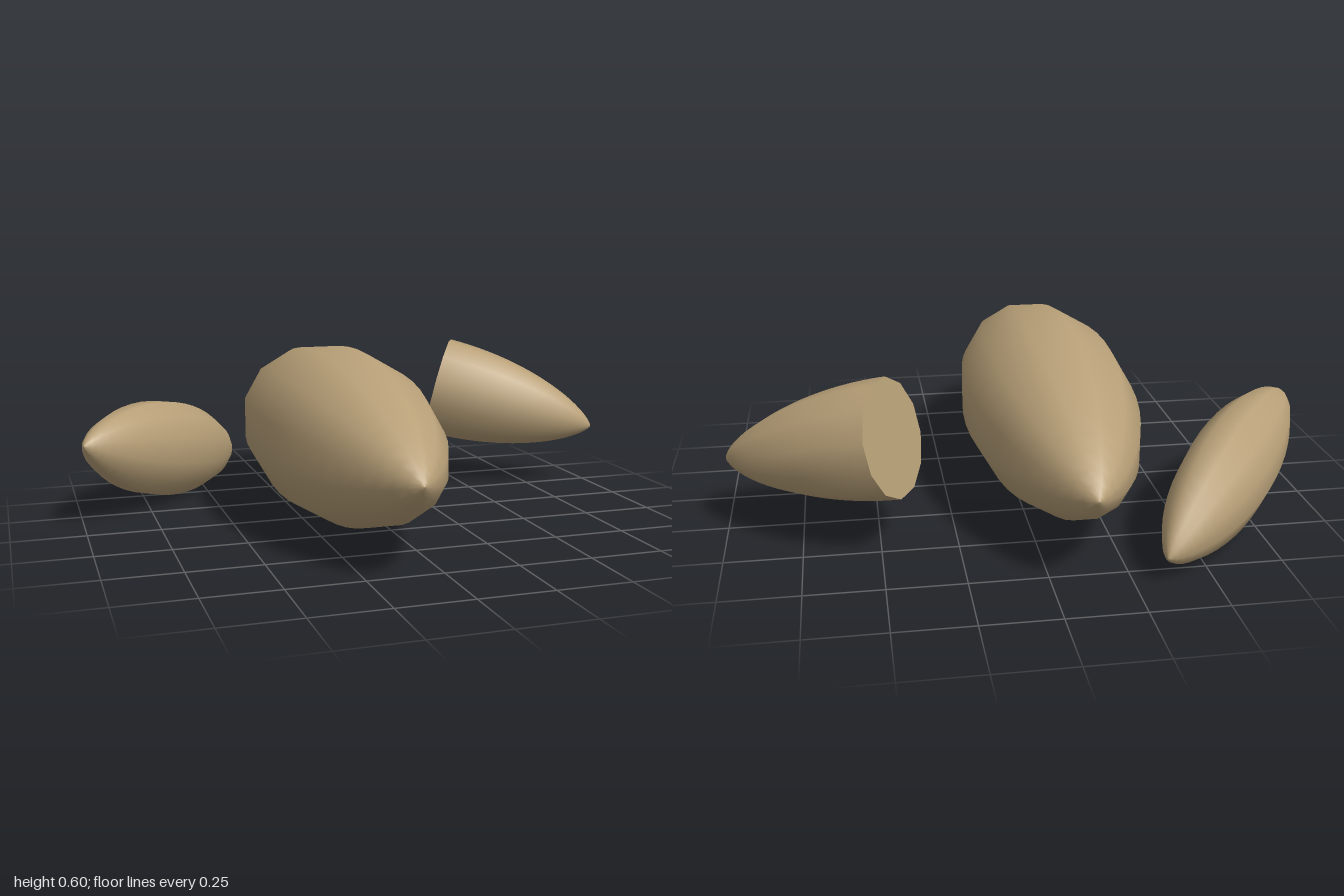
import * as THREE from 'three';

const SIDES = 12;
const RINGS = 24;

// Pointed, swollen grain profile along y, from t0 (-1 = full grain, 0 = cut in half) to the tip at 1
function grainGeometry(radius, halfLength, t0) {
  const points = [];
  for (let i = 0; i <= RINGS; i++) {
    const a = THREE.MathUtils.lerp(Math.asin(t0), Math.PI / 2, i / RINGS);
    const t = Math.sin(a);
    const r = i === RINGS || (i === 0 && t0 === -1) ? 0 : radius * Math.pow(1 - t * t, 0.72);
    points.push(new THREE.Vector2(r, t * halfLength));
  }
  return new THREE.LatheGeometry(points, SIDES, Math.PI / SIDES);
}

// Turn an object so that its y axis follows a direction, keeping its x axis level
function aim(object, direction) {
  const y = direction.clone().normalize();
  const x = new THREE.Vector3().crossVectors(y, new THREE.Vector3(0, 1, 0)).normalize();
  const z = new THREE.Vector3().crossVectors(x, y);
  object.quaternion.setFromRotationMatrix(new THREE.Matrix4().makeBasis(x, y, z));
}

// Whole grain between two tips, with its own width and height
function wholeGrain(name, from, to, width, height, material) {
  const axis = to.clone().sub(from);
  const mesh = new THREE.Mesh(grainGeometry(1, axis.length() / 2, -1), material);
  mesh.name = name;
  mesh.position.copy(from).add(to).multiplyScalar(0.5);
  mesh.scale.set(width, 1, height);
  aim(mesh, axis);
  return mesh;
}

// Broken grain with a flat cut face at one end
function brokenGrain(name, cut, tip, radius, material) {
  const axis = tip.clone().sub(cut);
  const group = new THREE.Group();
  group.name = name;
  const body = new THREE.Mesh(grainGeometry(radius, axis.length(), 0), material);
  body.name = 'brokenGrainBody';
  const face = new THREE.Mesh(
    new THREE.CircleGeometry(radius, SIDES, Math.PI / SIDES).rotateX(Math.PI / 2), material);
  face.name = 'cutFace';
  group.add(body, face);
  group.position.copy(cut);
  aim(group, axis);
  return group;
}

export function createModel() {
  const v = (x, y, z) => new THREE.Vector3(x, y, z);
  const husk = new THREE.MeshStandardMaterial({ color: 0xb8a078 });
  husk.name = 'huskTan';

  const model = new THREE.Group();
  model.name = 'grains';
  model.add(
    wholeGrain('largeGrain', v(-0.12, 0.31, -0.89), v(-0.12, 0.31, 0.89), 0.3, 0.3, husk),
    wholeGrain('smallGrain', v(-0.995, 0.3, -0.04), v(-0.345, 0.09, -0.855), 0.143, 0.182, husk),
    brokenGrain('brokenGrain', v(0.45, 0.38, -0.47), v(0.995, 0.23, -0.185), 0.195, husk),
  );
  return model;
}
